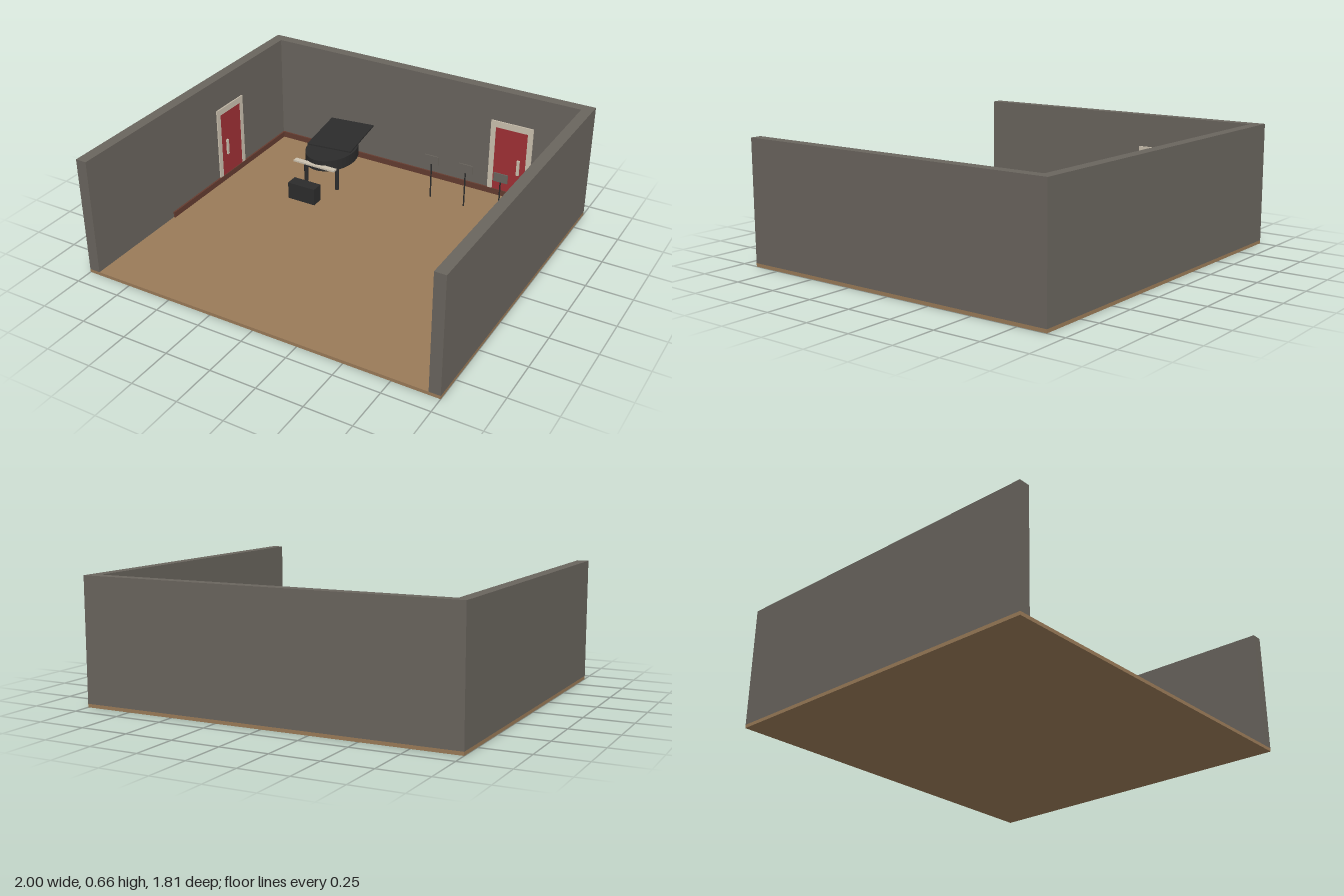
import * as THREE from 'three';

const mat = (name, color, side = THREE.FrontSide) => {
  const m = new THREE.MeshStandardMaterial({ color, side });
  m.name = name;
  return m;
};

export function createModel() {
  const root = new THREE.Group();
  root.name = 'musicRoom';

  const wall = mat('wallGrey', 0x6a655e);
  const wood = mat('floorWood', 0x9a7b58);
  const trim = mat('skirtingBrown', 0x643c30);
  const red = mat('doorRed', 0xa03035);
  const cream = mat('cream', 0xcbc1af);
  const black = mat('black', 0x2c2c2c);

  const FLOOR = 0.018, TOP = 0.66, D = 0.905, T = 0.06;

  const add = (parent, name, geometry, material, x = 0, y = 0, z = 0) => {
    const mesh = new THREE.Mesh(geometry, material);
    mesh.name = name;
    mesh.position.set(x, y, z);
    parent.add(mesh);
    return mesh;
  };
  // Box given by its minimum and maximum corners
  const box = (parent, name, material, x0, x1, y0, y1, z0, z1) =>
    add(parent, name, new THREE.BoxGeometry(x1 - x0, y1 - y0, z1 - z0), material,
      (x0 + x1) / 2, (y0 + y1) / 2, (z0 + z1) / 2);
  const group = (name) => {
    const g = new THREE.Group();
    g.name = name;
    root.add(g);
    return g;
  };

  // Room shell, open to the front and above
  box(root, 'floor', wood, -1, 1, 0, FLOOR, -D, D);
  box(root, 'backWall', wall, -1 + T, 1 - T, FLOOR, TOP, -D, -D + T);
  box(root, 'rightWall', wall, -1, -1 + T, FLOOR, TOP, -D, D);
  box(root, 'leftWall', wall, 1 - T, 1, FLOOR, TOP, -D, D);

  // Skirting boards
  box(root, 'backSkirting', trim, -0.94, 0.94, FLOOR, 0.052, -0.845, -0.835);
  box(root, 'rightSkirting', trim, -0.94, -0.93, FLOOR, 0.052, -0.835, 0.28);
  box(root, 'leftSkirting', trim, 0.93, 0.94, FLOOR, 0.052, -0.835, 0.28);

  // Door with frame and handle, facing +z, its back on z = 0
  const makeDoor = (name, handleX) => {
    const door = group(name);
    box(door, 'doorLeaf', red, -0.095, 0.095, FLOOR, 0.44, 0, 0.005);
    for (const s of [-1, 1]) {
      box(door, 'doorJamb', cream, s * 0.11 - 0.015, s * 0.11 + 0.015, FLOOR, 0.44, 0, 0.007);
    }
    box(door, 'doorLintel', cream, -0.125, 0.125, 0.44, 0.478, 0, 0.007);
    box(door, 'doorHandle', cream, handleX - 0.008, handleX + 0.008, 0.175, 0.267, 0.005, 0.014);
    return door;
  };
  makeDoor('backDoor', 0.053).position.set(0.565, 0, -0.845);
  const sideDoor = makeDoor('sideDoor', -0.045);
  sideDoor.position.set(-0.94, 0, -0.287);
  sideDoor.rotation.y = Math.PI / 2;

  // Grand piano: oval case, raised lid, keyboard and three legs
  const piano = group('piano');
  add(piano, 'pianoCase', new THREE.CylinderGeometry(0.14, 0.14, 0.065, 40), black, -0.415, 0.1825, -0.55)
    .scale.z = 1.336;
  add(piano, 'pianoLid', new THREE.BoxGeometry(0.264, 0.008, 0.353), black, -0.369, 0.294, -0.573)
    .rotation.y = 0.13;
  box(piano, 'keyboard', cream, -0.55, -0.285, 0.178, 0.188, -0.378, -0.347);
  for (const [x, z] of [[-0.522, -0.435], [-0.316, -0.435], [-0.417, -0.71]]) {
    add(piano, 'pianoLeg', new THREE.CylinderGeometry(0.012, 0.012, 0.15 - FLOOR, 16), black,
      x, (0.15 + FLOOR) / 2, z);
  }

  // Bench
  box(root, 'bench', black, -0.505, -0.335, FLOOR, 0.118, -0.284, -0.214);

  // Row of music stands
  for (const x of [0.185, 0.393, 0.602]) {
    const stand = group('musicStand');
    add(stand, 'standPole', new THREE.CylinderGeometry(0.004, 0.004, 0.23 - FLOOR, 10), black,
      x, (0.23 + FLOOR) / 2, -0.628);
    box(stand, 'standDesk', wall, x - 0.041, x + 0.041, 0.23, 0.282, -0.631, -0.625);
  }

  return root;
}
